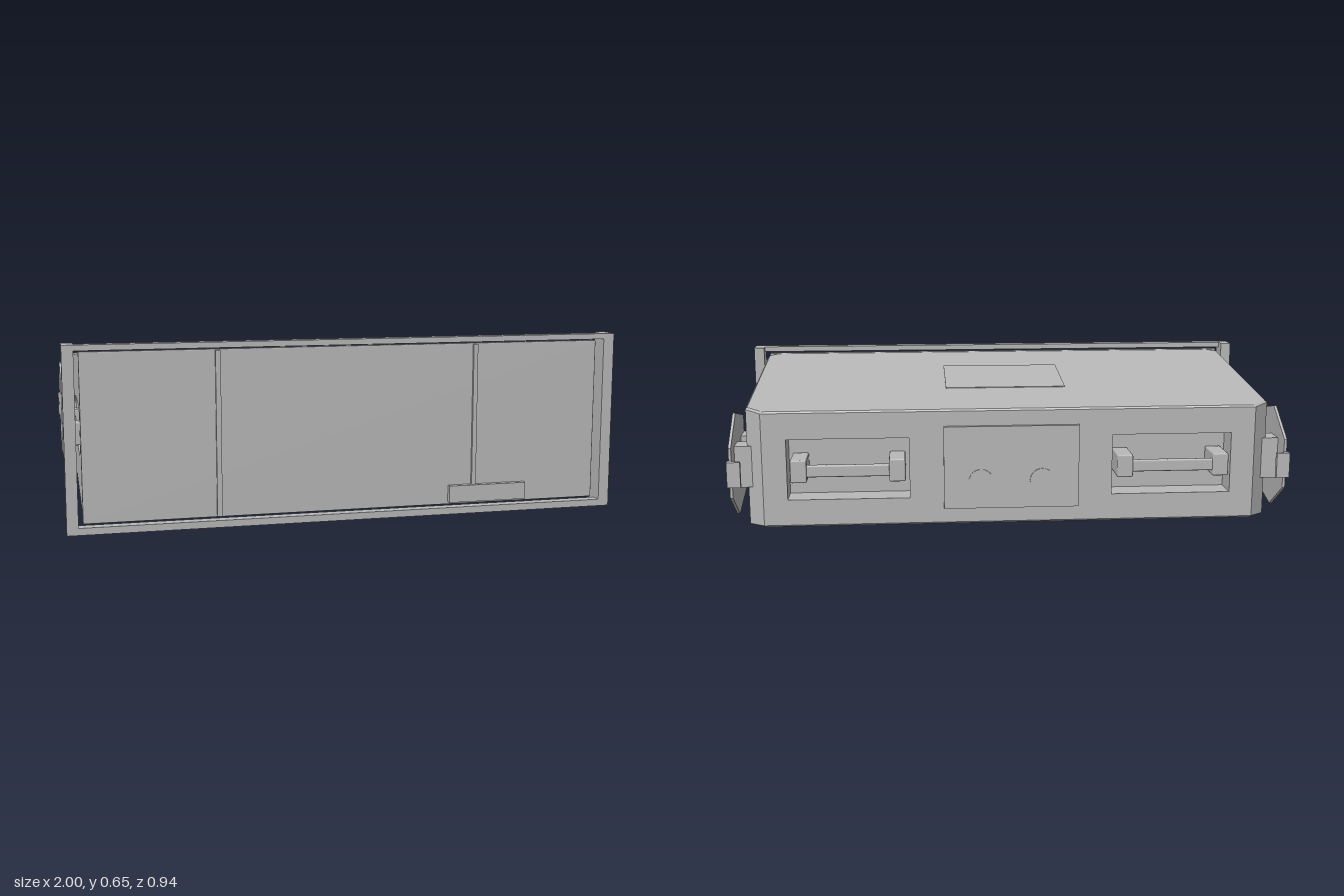
import * as THREE from 'three';
import { RoundedBoxGeometry } from 'three/addons/geometries/RoundedBoxGeometry.js';

const grey = new THREE.MeshStandardMaterial({ color: 0xb8b8b8 });
grey.name = 'plain grey';

// Body: half width, end planes, edge bevel, and sloping top and bottom heights
const HALF = 0.942, FRONT = 0.425, BACK = -0.41, BEVEL = 0.006;
const SIDE_FRONT = 0.396, SIDE_BACK = -0.353, BACK_HALF = 0.885, FACE = 0.448;
const mix = (z, back, front) => back + (front - back) * (z - BACK) / (FRONT - BACK);
const lowY = z => mix(z, 0.116, 0.03);
const topY = z => mix(z, 0.535, 0.623);

function add(parent, name, geometry) {
  const mesh = new THREE.Mesh(geometry, grey);
  mesh.name = name;
  parent.add(mesh);
  return mesh;
}

// Box given by its lower and upper limits on each axis, optionally with eased edges
function box(parent, name, x0, x1, y0, y1, z0, z1, ease = 0) {
  const size = [x1 - x0, y1 - y0, z1 - z0];
  const mesh = add(parent, name, ease
    ? new RoundedBoxGeometry(...size, 1, ease) : new THREE.BoxGeometry(...size));
  mesh.position.set((x0 + x1) / 2, (y0 + y1) / 2, (z0 + z1) / 2);
  return mesh;
}

const points = pts => pts.map(p => new THREE.Vector2(...p));
const rect = (x0, x1, y0, y1) => [[x0, y0], [x1, y0], [x1, y1], [x0, y1]];

// Tapered shell, left open where the pocketed walls go
function shellGeometry() {
  const right = [[0.91, FRONT], [HALF, SIDE_FRONT], [HALF, SIDE_BACK], [BACK_HALF, BACK]];
  const outline = [...right, ...right.map(([x, z]) => [-x, z]).reverse()];
  const ring = (inset, y) => outline.map(([x, z]) => {
    const zi = z * (1 - inset / 0.42);
    return [x * (1 - inset / HALF), y(zi), zi];
  });
  const rings = [
    ring(BEVEL, lowY), ring(0, z => lowY(z) + BEVEL),
    ring(0, z => topY(z) - BEVEL), ring(BEVEL, topY),
  ];
  const pos = [];
  const tri = (a, b, c) => pos.push(...a, ...b, ...c);
  for (let r = 0; r < 3; r++) {
    for (let i = 0; i < 8; i++) {
      if (r === 1 && (i === 1 || i === 3 || i === 5)) continue;
      const j = (i + 1) % 8, lo = rings[r], hi = rings[r + 1];
      tri(lo[i], lo[j], hi[j]);
      tri(lo[i], hi[j], hi[i]);
    }
  }
  for (let i = 1; i < 7; i++) {
    tri(rings[3][0], rings[3][i], rings[3][i + 1]);
    tri(rings[0][0], rings[0][i + 1], rings[0][i]);
  }
  const g = new THREE.BufferGeometry();
  g.setAttribute('position', new THREE.Float32BufferAttribute(pos, 3));
  g.computeVertexNormals();
  return g;
}

// Five-sided lining facing inwards, open towards +z
function pocketGeometry(w, h, d) {
  const p = new THREE.BoxGeometry(w, h, d).toNonIndexed().attributes.position, pos = [];
  for (let i = p.count - 1; i >= 0; i--) {
    if (i < 24 || i >= 30) pos.push(p.getX(i), p.getY(i), p.getZ(i));
  }
  const out = new THREE.BufferGeometry();
  out.setAttribute('position', new THREE.Float32BufferAttribute(pos, 3));
  out.computeVertexNormals();
  return out;
}

// Wall in its own plane (facing +z) with pockets and a grab handle at each centre
function wall(name, outline, centres, { half, y0, y1, reach }) {
  const group = new THREE.Group();
  group.name = name;
  const shape = new THREE.Shape(points(outline));
  const depth = 0.1, foot = 0.058;
  for (const u of centres) {
    shape.holes.push(new THREE.Path(points(rect(u - half, u + half, y0, y1))));
    add(group, 'handlePocket', pocketGeometry(half * 2, y1 - y0, depth))
      .position.set(u, (y0 + y1) / 2, -depth / 2);
    const inner = reach - foot + 0.005;
    box(group, 'handleBar', u - inner, u + inner, 0.302, 0.345, 0.003, 0.025, 0.006);
    for (const s of [-1, 1]) {
      const c = u + s * (reach - foot / 2);
      box(group, 'handleBracket', c - foot / 2, c + foot / 2, 0.283, 0.366, -depth, 0.03, 0.006);
    }
  }
  add(group, name + 'Panel', new THREE.ShapeGeometry(shape));
  return group;
}

function sideWall(s) {
  const u = z => -s * z;
  const corners = [[SIDE_FRONT, lowY, BEVEL], [SIDE_BACK, lowY, BEVEL], [SIDE_BACK, topY, -BEVEL], [SIDE_FRONT, topY, -BEVEL]];
  const outline = corners.map(([z, y, b]) => [u(z), y(z) + b]);
  const group = wall(s > 0 ? 'leftWall' : 'rightWall', outline, [u(0.133)],
    { half: 0.155, y0: 0.235, y1: 0.415, reach: 0.182 });

  // Six-sided guard plate on two struts, with a tab at its rear tip
  const plate = [[-0.1, 0.185], [-0.3, 0.138], [-0.445, 0.235], [-0.445, 0.415], [-0.3, 0.512], [-0.1, 0.467]];
  add(group, 'guardPlate', new THREE.ExtrudeGeometry(
    new THREE.Shape(points(plate.map(([z, y]) => [u(z), y]))), { depth: 0.01, bevelEnabled: false })).position.z = 0.043;
  const sideBox = (name, za, zb, y0, y1, w0, w1) =>
    box(group, name, Math.min(u(za), u(zb)), Math.max(u(za), u(zb)), y0, y1, w0, w1);
  sideBox('guardStrut', -0.102, -0.19, 0.255, 0.405, -0.005, 0.043);
  sideBox('guardStrut', -0.29, -0.37, 0.255, 0.405, -0.02, 0.043);
  sideBox('guardTab', -0.445, -0.472, 0.28, 0.37, 0.043, 0.058);
  sideBox('guardTabLip', -0.455, -0.472, 0.28, 0.37, 0.011, 0.043);

  group.position.x = s * HALF;
  group.rotation.y = s * Math.PI / 2;
  return group;
}

export function createModel() {
  const model = new THREE.Group();
  model.name = 'equipmentCase';

  add(model, 'bodyShell', shellGeometry());
  model.add(sideWall(1), sideWall(-1));

  // Rear wall with two handles and a raised cover carrying two discs
  const rear = wall('rearWall',
    rect(-BACK_HALF, BACK_HALF, lowY(BACK) + BEVEL, topY(BACK) - BEVEL), [-0.582, 0.582],
    { half: 0.217, y0: 0.215, y1: 0.435, reach: 0.203 });
  box(rear, 'rearCover', -0.243, 0.243, 0.175, 0.475, 0, 0.014);
  for (const x of [-0.11, 0.11]) {
    const disc = add(rear, 'coverDisc', new THREE.CylinderGeometry(0.044, 0.044, 0.01, 32));
    disc.rotation.x = Math.PI / 2;
    disc.position.set(x, 0.275, 0.013);
  }
  rear.position.z = BACK;
  rear.rotation.y = Math.PI;
  model.add(rear);

  // Thin hatch lying on the sloping top
  const hatch = add(model, 'topHatch', new THREE.BoxGeometry(0.45, 0.005, 0.322));
  hatch.position.set(0, topY(0.025), 0.025);
  hatch.rotation.x = -Math.atan(topY(1) - topY(0));

  // Front frame: outer border and side flanges reaching back
  const border = new THREE.Shape(points(rect(-1, 1, 0, 0.65)));
  border.holes.push(new THREE.Path(points(rect(-0.96, 0.96, 0.025, 0.63))));
  add(model, 'frontFrame', new THREE.ExtrudeGeometry(border, { depth: 0.04, bevelEnabled: false })).position.z = 0.432;
  for (const s of [-1, 1]) {
    box(model, 'frameFlange', s * 0.98 - 0.02, s * 0.98 + 0.02, 0, 0.65, 0.395, 0.432);
  }

  // Front plate set inside the frame, with dividers and a latch
  box(model, 'frontPlate', -0.944, 0.94, 0.032, 0.624, FRONT, FACE, 0.004);
  box(model, 'leftDivider', 0.458, 0.474, 0.1, 0.62, FACE - 0.005, FACE + 0.01);
  box(model, 'rightDivider', -0.482, -0.464, 0.036, 0.62, FACE - 0.005, FACE + 0.01);
  box(model, 'frontLatch', 0.37, 0.665, 0.042, 0.104, FACE - 0.005, FACE + 0.02);

  return model;
}
